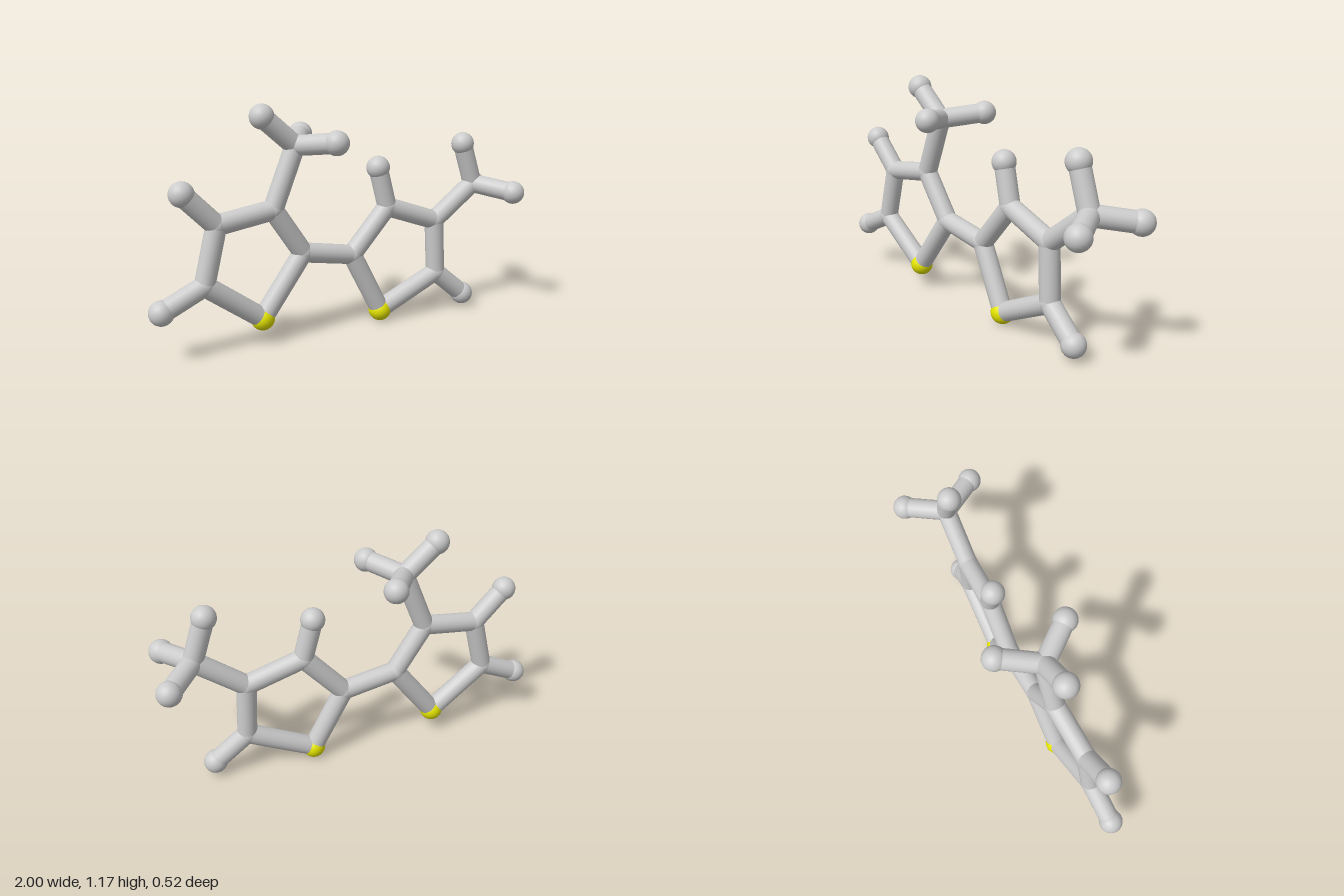
import * as THREE from 'three';

// Ball-and-stick molecule: two linked five-membered rings, each with a three-armed side group.
const BOND_R = 0.05, JOINT_R = 0.052, TIP_R = 0.06;

// Ring and side-group joints
const joints = {
  leftInner: [-0.21, 0.43, -0.02], leftUpper: [-0.37, 0.665, -0.01],
  leftOuter: [-0.66, 0.625, 0], leftLower: [-0.73, 0.345, 0.005],
  leftBranch: [-0.25, 0.965, -0.01],
  rightInner: [0.07, 0.38, -0.025], rightUpper: [0.275, 0.61, -0.02],
  rightOuter: [0.56, 0.51, -0.003], rightLower: [0.575, 0.22, 0],
  rightBranch: [0.8, 0.69, 0.005],
};

// Yellow ring corners
const corners = {
  leftCorner: [-0.436, 0.13, -0.01], rightCorner: [0.235, 0.06, -0.015],
};

// End balls, each listed with the joint that carries it
const tips = [
  ['leftLower', [-0.94, 0.25, 0.01]],
  ['leftOuter', [-0.82, 0.787, 0.005]],
  ['leftBranch', [-0.42, 1.112, -0.005]],
  ['leftBranch', [-0.13, 0.993, -0.2]],
  ['leftBranch', [-0.12, 0.99, 0.17]],
  ['rightUpper', [0.222, 0.818, -0.025]],
  ['rightLower', [0.745, 0.077, 0.015]],
  ['rightBranch', [0.727, 0.91, 0.005]],
  ['rightBranch', [0.94, 0.657, -0.17]],
  ['rightBranch', [0.92, 0.66, 0.2]],
];

// Chains of joints linked by sticks
const chains = [
  ['leftCorner', 'leftInner', 'leftUpper', 'leftOuter', 'leftLower', 'leftCorner'],
  ['rightCorner', 'rightInner', 'rightUpper', 'rightOuter', 'rightLower', 'rightCorner'],
  ['leftInner', 'rightInner'],
  ['leftUpper', 'leftBranch'],
  ['rightOuter', 'rightBranch'],
];

export function createModel() {
  const model = new THREE.Group();
  model.name = 'molecule';
  const grey = new THREE.MeshStandardMaterial({ color: 0xcccccc });
  const yellow = new THREE.MeshStandardMaterial({ color: 0xe6e600 });
  const up = new THREE.Vector3(0, 1, 0);

  const addBall = (name, p, r, material) => {
    const ball = new THREE.Mesh(new THREE.SphereGeometry(r, 24, 16), material);
    ball.name = name;
    ball.position.set(...p);
    model.add(ball);
  };

  const addStick = (name, p, q) => {
    const a = new THREE.Vector3(...p), b = new THREE.Vector3(...q);
    const dir = b.clone().sub(a);
    const stick = new THREE.Mesh(new THREE.CylinderGeometry(BOND_R, BOND_R, dir.length(), 20), grey);
    stick.name = name;
    stick.position.copy(a).add(b).multiplyScalar(0.5);
    stick.quaternion.setFromUnitVectors(up, dir.normalize());
    model.add(stick);
  };

  const points = { ...joints, ...corners };
  for (const [name, p] of Object.entries(joints)) addBall(name + 'Joint', p, JOINT_R, grey);
  for (const [name, p] of Object.entries(corners)) addBall(name + 'Ball', p, TIP_R, yellow);

  for (const chain of chains) {
    for (let i = 1; i < chain.length; i++) {
      addStick('ringStick', points[chain[i - 1]], points[chain[i]]);
    }
  }

  for (const [from, p] of tips) {
    addStick('endStick', joints[from], p);
    addBall('endBall', p, TIP_R, grey);
  }
  return model;
}
